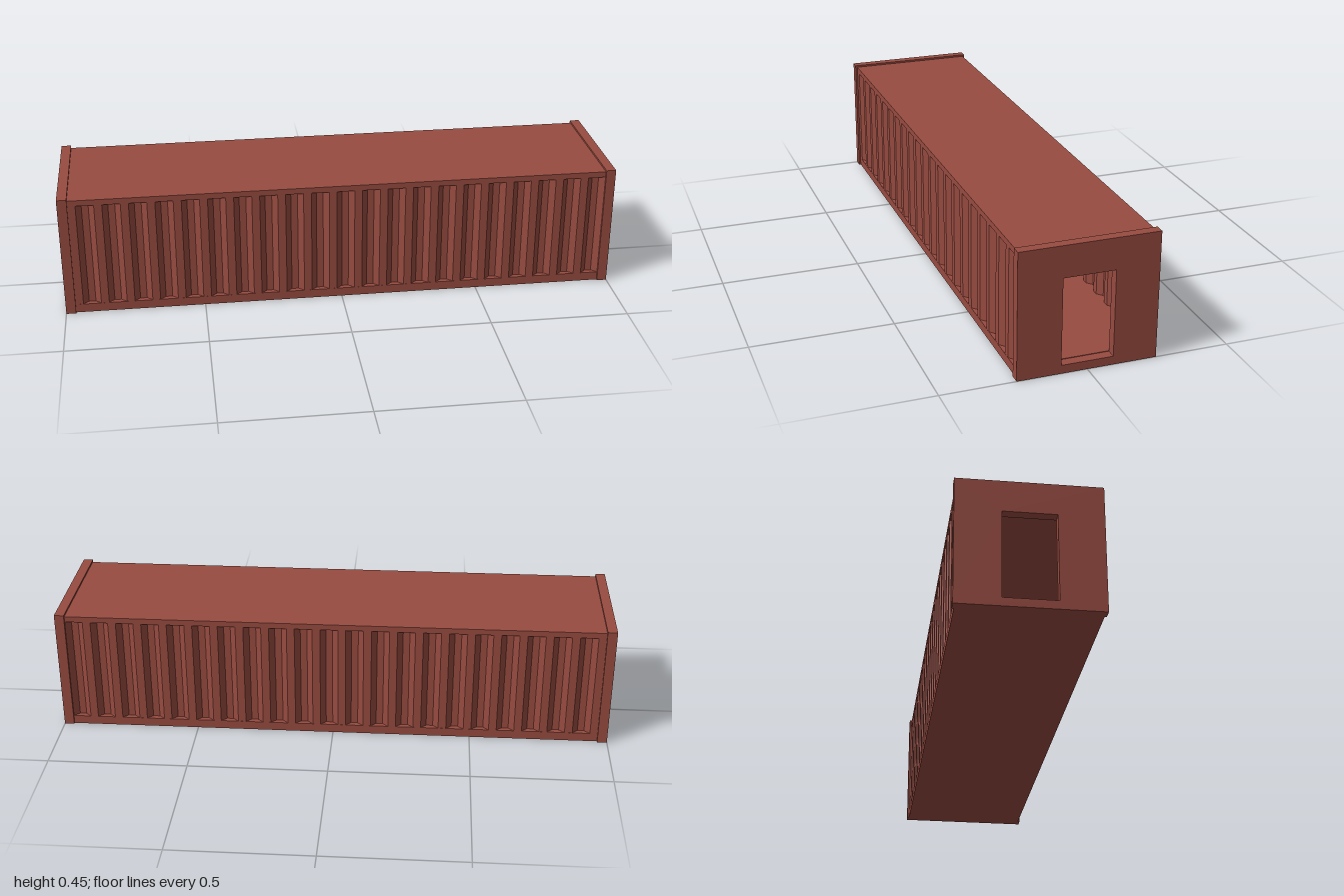
import * as THREE from 'three';

const HALF = 0.965;      // inner face of the end frames
const BODY_Z = 0.235;    // half width of the body
const FLOOR = 0.03, CEILING = 0.422, ROOF = 0.443;

export function createModel() {
  const group = new THREE.Group();
  const paint = new THREE.MeshStandardMaterial({ color: 0x984b40 });
  paint.name = 'rust red paint';

  const add = (name, geometry) => {
    const mesh = new THREE.Mesh(geometry, paint);
    mesh.name = name;
    group.add(mesh);
    return mesh;
  };
  const box = (name, w, h, d, y) =>
    add(name, new THREE.BoxGeometry(w, h, d)).position.set(0, y, 0);

  // Floor and roof slabs, whose edges form the long side rails
  box('floor', HALF * 2, FLOOR + 0.002, BODY_Z * 2, (FLOOR + 0.002) / 2);
  box('roof', HALF * 2, ROOF - CEILING, BODY_Z * 2, (ROOF + CEILING) / 2);

  // End frames with an open doorway
  const panel = new THREE.Shape();
  panel.moveTo(-0.242, 0).lineTo(0.242, 0).lineTo(0.242, 0.45).lineTo(-0.242, 0.45).closePath();
  const door = new THREE.Path();
  door.moveTo(-0.09, 0.03).lineTo(-0.09, 0.338).lineTo(0.09, 0.338).lineTo(0.09, 0.03).closePath();
  panel.holes.push(door);
  for (const side of [-1, 1]) {
    const end = new THREE.ExtrudeGeometry(panel, { depth: 1 - HALF, bevelEnabled: false });
    end.rotateY(side * Math.PI / 2);
    end.translate(side * HALF, 0, 0);
    add(side > 0 ? 'leftEndFrame' : 'rightEndFrame', end);
  }

  // Corrugated side walls: a trapezoid wave swept upward
  const count = 21, pitch = HALF * 2 / count, depth = 0.018, thickness = 0.004;
  const outer = BODY_Z - 0.0005, inner = outer - depth;
  const wave = [];
  for (let i = 0; i < count; i++) {
    const x = -HALF + i * pitch;
    wave.push([x, outer], [x + 0.028, outer], [x + 0.048, inner], [x + 0.072, inner]);
  }
  wave.push([HALF, outer]);
  for (const side of [-1, 1]) {
    const outline = [
      ...wave.map(([x, z]) => new THREE.Vector2(x, -side * z)),
      ...wave.map(([x, z]) => new THREE.Vector2(x, -side * (z - thickness))).reverse(),
    ];
    const wall = new THREE.ExtrudeGeometry(new THREE.Shape(outline), {
      depth: CEILING - FLOOR, bevelEnabled: false,
    });
    wall.rotateX(-Math.PI / 2);
    wall.translate(0, FLOOR, 0);
    add(side > 0 ? 'frontCorrugatedWall' : 'backCorrugatedWall', wall);
  }

  return group;
}
